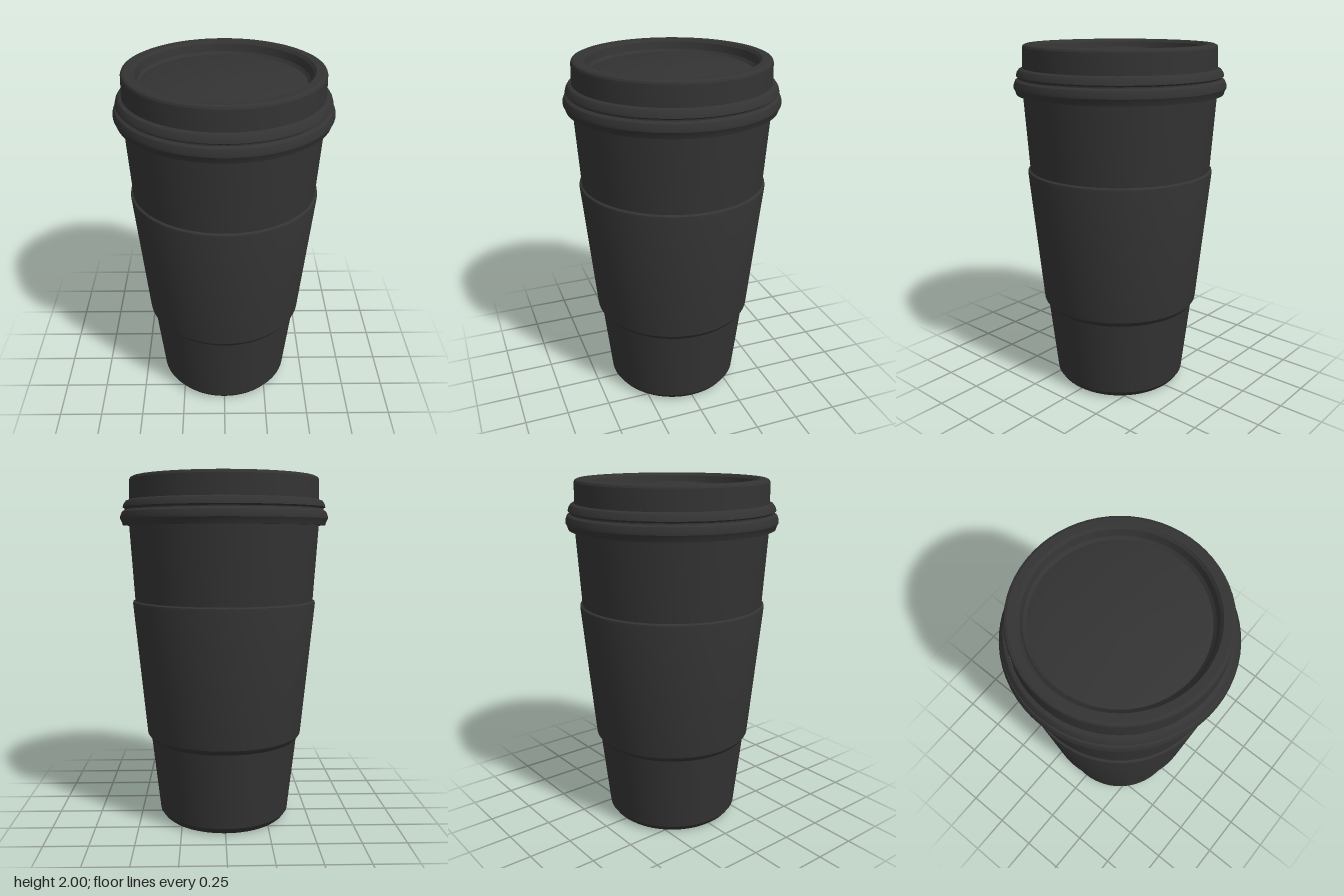
import * as THREE from 'three';
import { toCreasedNormals } from 'three/addons/utils/BufferGeometryUtils.js';

const SEGMENTS = 64;

// Turns a [radius, height] profile, listed bottom to top, into a named part
function turned(name, profile, material) {
  const points = profile.map(([r, y]) => new THREE.Vector2(r, y));
  const geometry = toCreasedNormals(new THREE.LatheGeometry(points, SEGMENTS), 0.4);
  const mesh = new THREE.Mesh(geometry, material);
  mesh.name = name;
  return mesh;
}

export function createModel() {
  const group = new THREE.Group();
  group.name = 'travelCup';
  const charcoal = new THREE.MeshStandardMaterial({ color: 0x333333 });
  charcoal.name = 'charcoal';

  // Tapered cup with a bevelled foot, running up inside the lid
  group.add(turned('cup', [
    [0, 0], [0.35, 0], [0.365, 0.012], [0.385, 0.04],
    [0.435, 0.49], [0.517, 1.3], [0.545, 1.74], [0.548, 1.8],
  ], charcoal));

  // Grip sleeve standing slightly proud of the cup
  group.add(turned('sleeve', [
    [0.434, 0.485], [0.44, 0.49], [0.457, 0.515],
    [0.531, 1.285], [0.529, 1.297], [0.515, 1.305],
  ], charcoal));

  // Lid skirt: two rounded beads separated by a groove
  group.add(turned('lidSkirt', [
    [0.54, 1.73], [0.58, 1.73], [0.586, 1.75], [0.594, 1.765], [0.594, 1.78],
    [0.584, 1.805], [0.568, 1.815], [0.568, 1.822], [0.579, 1.83],
    [0.574, 1.848], [0.562, 1.865], [0.543, 1.872],
  ], charcoal));

  // Raised lid rim with a stepped inner wall
  group.add(turned('lidRim', [
    [0.543, 1.865], [0.54, 1.983], [0.535, 1.994], [0.522, 2],
    [0.48, 2], [0.466, 1.985], [0.455, 1.945], [0.44, 1.93],
  ], charcoal));

  // Recessed, gently domed lid top
  group.add(turned('lidTop', [
    [0.44, 1.93], [0.36, 1.95], [0.11, 1.977], [0, 1.98],
  ], charcoal));

  return group;
}
